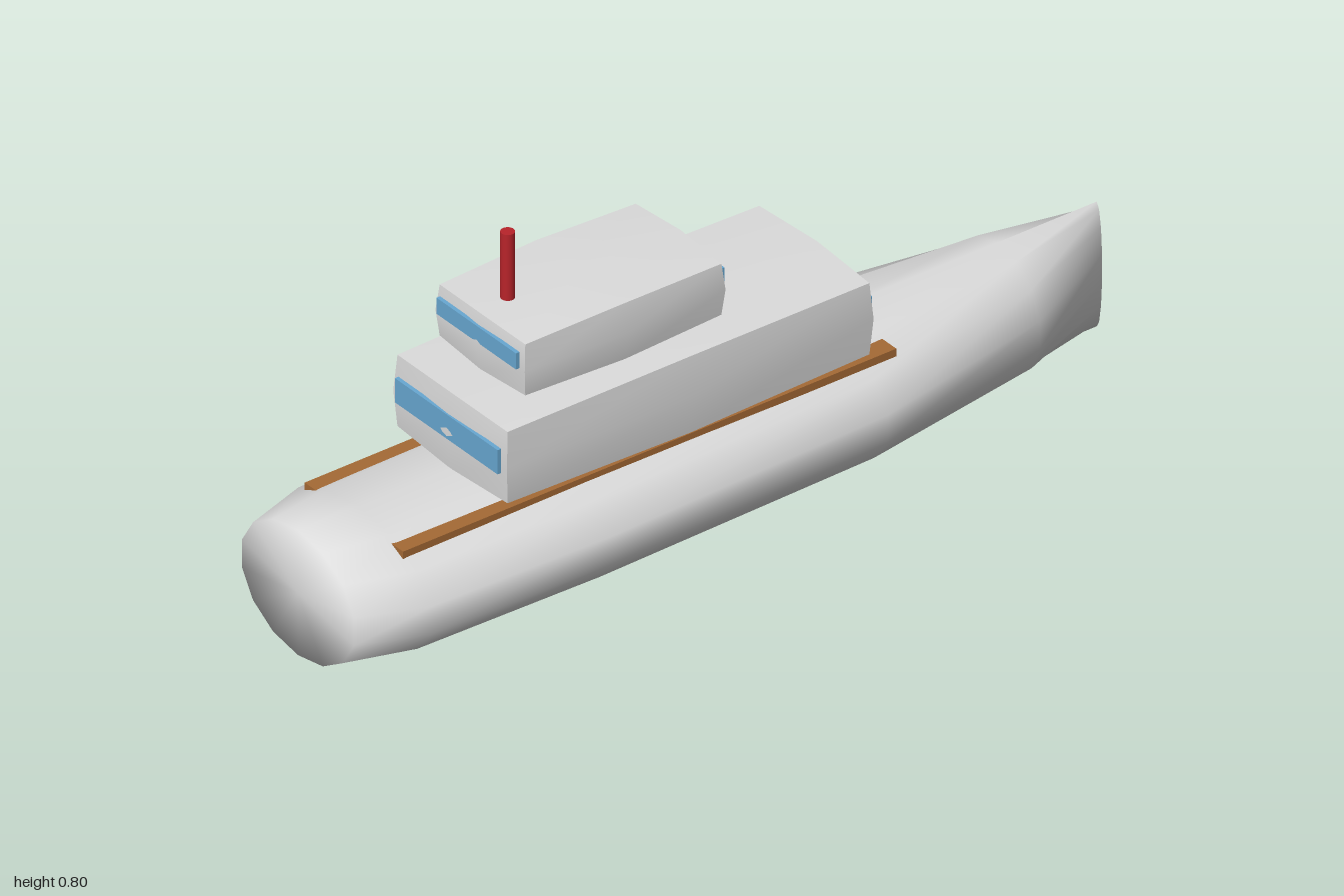
import * as THREE from 'three';

const mat = (name, color) => {
  const m = new THREE.MeshStandardMaterial({ color });
  m.name = name;
  return m;
};

function addMesh(parent, name, geometry, material, x = 0, y = 0, z = 0) {
  const mesh = new THREE.Mesh(geometry, material);
  mesh.name = name;
  mesh.position.set(x, y, z);
  parent.add(mesh);
  return mesh;
}

// Elliptical rings lofted along x, with smooth closed ends
function hullGeometry() {
  const stations = [[-1, 0.188], [-0.85, 0.249], [-0.4, 0.261], [0.3, 0.238], [0.75, 0.145], [1, 0.018]];
  const sides = 14, r = 0.147, last = stations.length - 1;
  const pos = [], index = [];
  for (const [x, w] of stations) {
    for (let j = 0; j < sides; j++) {
      const a = (j / sides) * Math.PI * 2;
      pos.push(x, r + r * Math.cos(a) + 0.001, w * Math.sin(a));
    }
  }
  const stern = pos.length / 3, bow = stern + 1;
  pos.push(-1, r, 0, 1, r, 0);
  for (let j = 0; j < sides; j++) {
    const k = (j + 1) % sides;
    for (let i = 0; i < last; i++) {
      const a = i * sides + j, b = i * sides + k;
      index.push(a, b, a + sides, b, b + sides, a + sides);
    }
    index.push(stern, k, j, bow, last * sides + j, last * sides + k);
  }
  const g = new THREE.BufferGeometry();
  g.setAttribute('position', new THREE.Float32BufferAttribute(pos, 3));
  g.setIndex(index);
  g.computeVertexNormals();
  return g;
}

// Box whose faces bulge out: edge midpoints and corners are drawn in
function cabinGeometry(hx, hy, hz) {
  const g = new THREE.BoxGeometry(2, 2, 2, 2, 2, 2);
  const half = [hx, hy, hz], drop = [0, 0.011, 0.017];
  const p = g.attributes.position;
  for (let i = 0; i < p.count; i++) {
    const s = [p.getX(i), p.getY(i), p.getZ(i)].map(Math.round);
    const others = s.filter((v) => v !== 0).length - 1;
    p.setXYZ(i, ...s.map((v, k) => v * (half[k] - drop[others])));
  }
  g.computeVertexNormals();
  return g;
}

export function createModel() {
  const white = mat('paintedWhite', 0xdcdcdc);
  const glass = mat('windowBlue', 0x68a8d2);
  const wood = mat('railWood', 0xa56a35);
  const red = mat('funnelRed', 0xb8242a);

  const boat = new THREE.Group();
  boat.name = 'boat';
  addMesh(boat, 'hull', hullGeometry(), white);

  // Cabins with a wide window plate at each end
  const cabins = [
    { name: 'lowerCabin', x: -0.16, y: 0.384, half: [0.47, 0.101, 0.197], win: [0.368, 0.425, 0.336] },
    { name: 'upperCabin', x: -0.2925, y: 0.565, half: [0.2625, 0.077, 0.157], win: [0.567, 0.605, 0.26] },
  ];
  for (const { name, x, y, half, win: [y0, y1, width] } of cabins) {
    addMesh(boat, name, cabinGeometry(...half), white, x, y);
    for (const s of [1, -1]) {
      addMesh(boat, name + (s > 0 ? 'FrontWindow' : 'RearWindow'),
        new THREE.BoxGeometry(0.009, y1 - y0, width), glass,
        x + s * (half[0] - 0.0057), (y0 + y1) / 2);
    }
  }

  // Side rails along the deck
  for (const s of [1, -1]) {
    addMesh(boat, s > 0 ? 'leftRail' : 'rightRail',
      new THREE.BoxGeometry(1.235, 0.018, 0.046), wood, -0.2425, 0.263, s * 0.138);
  }

  addMesh(boat, 'funnel', new THREE.CylinderGeometry(0.015, 0.015, 0.155, 20), red, -0.475, 0.7195);
  return boat;
}
